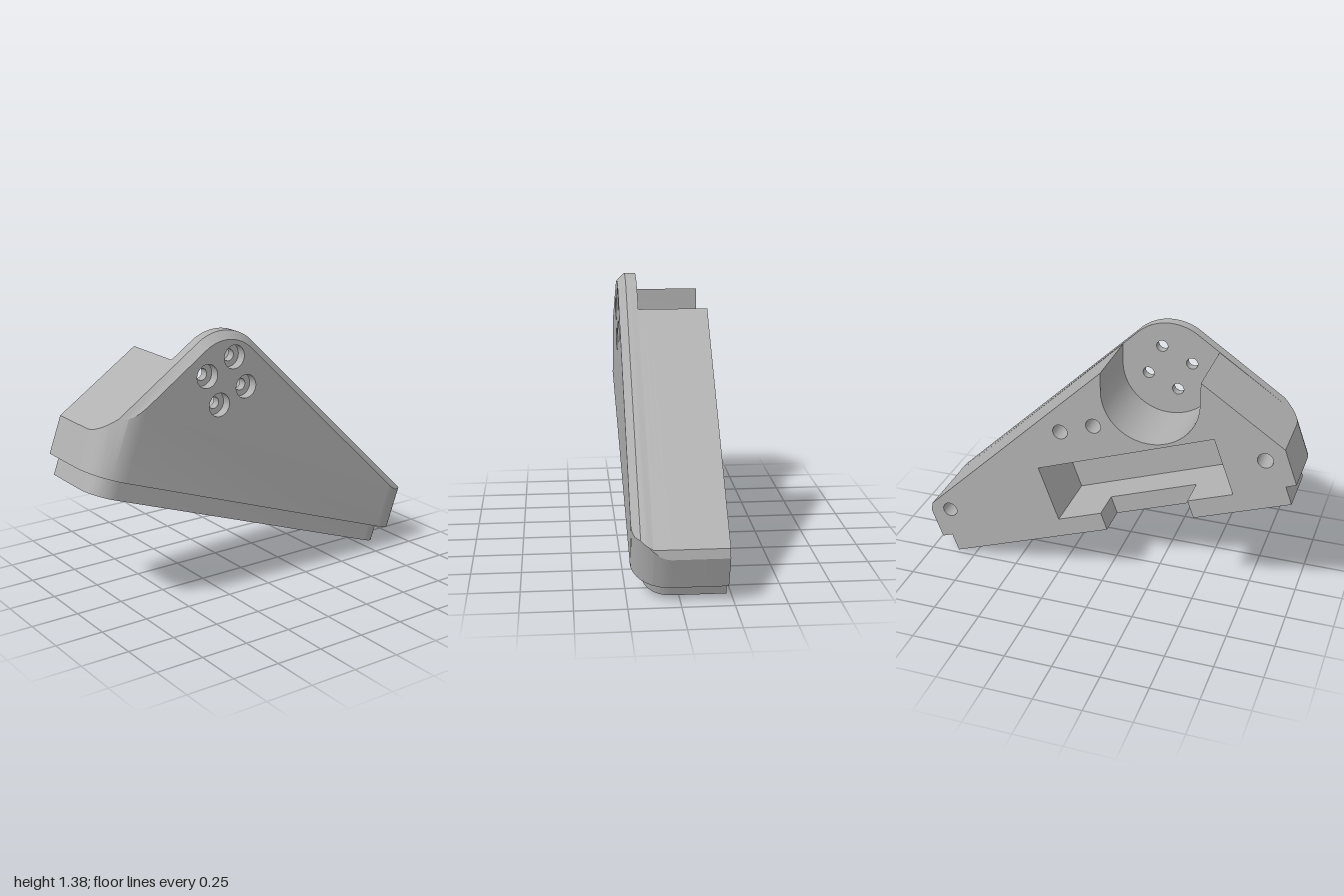
import * as THREE from 'three';
import { mergeGeometries, toCreasedNormals } from 'three/addons/utils/BufferGeometryUtils.js';

// The bracket is laid out along its base (u, v, z), then tilted.
const TILT = THREE.MathUtils.degToRad(20);
const BACK = -0.227, FLOOR = 0.13, BEVEL = 0.187, FRONT = 0.227;
const LEFT = -1.205, RIGHT = 0.86, BASE = 0.394, FILLET = 0.18;
const APEX = { u: -0.6175, v: 0.98, r: 0.25 };
const A = THREE.MathUtils.degToRad(54.3), B = THREE.MathUtils.degToRad(23.9);

const P = (u, v) => new THREE.Vector2(u, v);
const tilted = (x, y) => P(x * Math.cos(TILT) - y * Math.sin(TILT), x * Math.sin(TILT) + y * Math.cos(TILT));

// End inset caused by the rounded front ends
function inset(z) {
  const h = Math.max(0, z - (FRONT - FILLET));
  return FILLET - Math.sqrt(Math.max(0, FILLET * FILLET - h * h));
}

// Height of the roof line at u, offset inwards by d
function roof(u, d) {
  const r = APEX.r - d;
  const lu = APEX.u - r * Math.sin(A), ru = APEX.u + r * Math.sin(B);
  if (u < lu) return APEX.v + r * Math.cos(A) + (u - lu) * Math.tan(A);
  if (u > ru) {
    const v = APEX.v + r * Math.cos(B) - (u - ru) * Math.tan(B);
    return Math.min(v, 0.563 + (RIGHT - u) * 1.7);
  }
  return APEX.v + Math.sqrt(Math.max(0, r * r - (u - APEX.u) ** 2));
}

function rightEnd(z, d) {
  const u = RIGHT - inset(z), k = Math.min(0.836, u - 0.002);
  return [P(u, BASE), P(u, roof(u, d)), P(k, roof(k, d))];
}

// Full outline of the front plate at depth z, counter-clockwise
function plateOutline(z) {
  const d = Math.max(0, z - BEVEL), r = APEX.r - d, l = LEFT + inset(z);
  const pts = [P(l, BASE), ...rightEnd(z, d)];
  for (let i = 0; i <= 20; i++) {
    const t = THREE.MathUtils.lerp(-B, A, i / 20);
    pts.push(P(APEX.u - r * Math.sin(t), APEX.v + r * Math.cos(t)));
  }
  pts.push(P(l, roof(l, d)));
  return pts;
}

// Outline of the rear body, with the motor recess and the pocket
function bodyOutline(z) {
  const l = LEFT + inset(z);
  const pts = [P(l, BASE), P(-0.872, BASE), P(-0.872, 0.708), P(0.122, 0.708), P(0.122, BASE), ...rightEnd(z, 0)];
  pts.push(tilted(0.01, 1.231));
  for (let i = 0; i <= 24; i++) {
    const t = -Math.PI * i / 24;
    pts.push(tilted(-0.245 + 0.255 * Math.cos(t), 1.132 + 0.255 * Math.sin(t)));
  }
  pts.push(tilted(-0.5, 1.258), P(l, roof(l, 0)));
  return pts;
}

// Side walls joining an outline through several depths
function walls(outline, levels) {
  const pos = [], rings = levels.map(outline);
  for (let k = 0; k < levels.length - 1; k++) {
    const n = rings[k].length;
    for (let i = 0; i < n; i++) {
      const j = (i + 1) % n;
      const c = [[i, k], [j, k], [j, k + 1], [i, k], [j, k + 1], [i, k + 1]];
      for (const [q, m] of c) pos.push(rings[m][q].x, rings[m][q].y, levels[m]);
    }
  }
  const g = new THREE.BufferGeometry();
  g.setAttribute('position', new THREE.Float32BufferAttribute(pos, 3));
  return g;
}

// Flat face with round holes
function cap(pts, z, centres, r, facesBack) {
  const shape = new THREE.Shape(pts);
  for (const c of centres) shape.holes.push(new THREE.Path().absarc(c.x, c.y, r, 0, Math.PI * 2, true));
  const g = new THREE.ShapeGeometry(shape, 24);
  if (facesBack) {
    const ix = g.index.array;
    for (let i = 0; i < ix.length; i += 3) [ix[i], ix[i + 1]] = [ix[i + 1], ix[i]];
  }
  const out = g.toNonIndexed().translate(0, 0, z);
  out.deleteAttribute('uv');
  out.deleteAttribute('normal');
  return out;
}

export function createModel() {
  const grey = new THREE.MeshStandardMaterial({ color: 0xb0b0b0 });
  grey.name = 'grey';
  const group = new THREE.Group();
  group.name = 'bracket';
  const tilt = new THREE.Group();
  tilt.name = 'tiltedBody';
  tilt.rotation.z = -TILT;
  group.add(tilt);
  const add = (name, g) => {
    const m = new THREE.Mesh(toCreasedNormals(g, 0.5), grey);
    m.name = name;
    tilt.add(m);
  };

  const plateHoles = [[-0.36, 1.175], [-0.2, 1.25], [-0.13, 1.09], [-0.29, 1.02]].map(p => tilted(...p));
  const backHoles = [[0.887, 0.26], [-0.837, 0.891], [0.23, 0.862], [0.05, 0.927]].map(p => tilted(...p));

  // Front plate with bevelled roof edge
  const front = [FLOOR, 0.15, 0.17, BEVEL, 0.2, 0.211, 0.219, 0.2245, FRONT];
  add('frontPlate', mergeGeometries([
    walls(plateOutline, front),
    cap(plateOutline(FRONT), FRONT, plateHoles, 0.06, false),
    cap(plateOutline(FLOOR), FLOOR, plateHoles, 0.03, true),
  ]));

  // Rear body with recess and pocket
  add('rearBody', mergeGeometries([
    walls(bodyOutline, [BACK, FRONT - FILLET, 0.075, 0.1, FLOOR]),
    cap(bodyOutline(BACK), BACK, backHoles, 0.04, true),
  ]));

  // Stepped lip under the body, notched at the back
  const l = -1.15, r = 0.8, f = 0.167, c = 0.13;
  const lip = new THREE.Shape();
  lip.moveTo(l, -BACK);
  for (const [u, z] of [[-0.625, BACK], [-0.625, -0.057], [-0.13, -0.057], [-0.13, BACK], [r, BACK], [r, f - c]]) lip.lineTo(u, -z);
  lip.absarc(r - c, -(f - c), c, 0, -Math.PI / 2, true);
  lip.lineTo(l + c, -f);
  lip.absarc(l + c, -(f - c), c, -Math.PI / 2, -Math.PI, true);
  lip.closePath();
  const lipGeometry = new THREE.ExtrudeGeometry(lip, { depth: BASE - 0.293, bevelEnabled: false, curveSegments: 10 });
  add('lowerLip', lipGeometry.rotateX(-Math.PI / 2).translate(0, 0.293, 0));

  // Counterbored through holes and blind screw holes
  const bore = (name, profile, p) => {
    const g = new THREE.LatheGeometry(profile.map(q => P(...q)), 48);
    add(name, g.rotateX(Math.PI / 2).translate(p.x, p.y, 0));
  };
  for (const p of plateHoles) bore('counterbore', [[0.06, FRONT], [0.06, 0.175], [0.03, 0.175], [0.03, FLOOR]], p);
  for (const p of backHoles) bore('screwHole', [[0, -0.03], [0.04, -0.03], [0.04, BACK]], p);

  return group;
}
